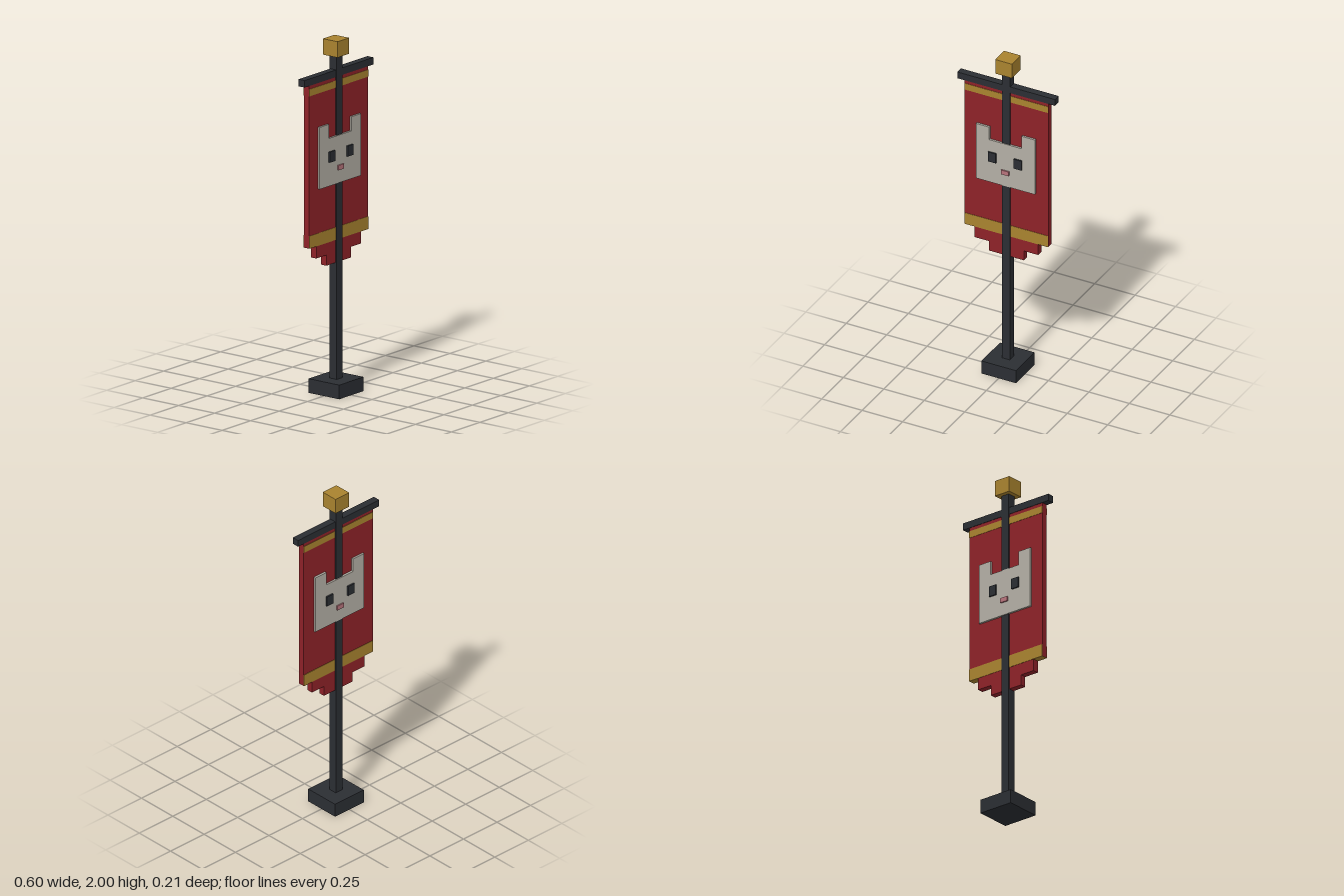
import * as THREE from 'three';

const material = (color) => new THREE.MeshStandardMaterial({ color, flatShading: true });

export function createModel() {
  const model = new THREE.Group();
  model.name = 'bannerStand';

  const iron = material(0x2b2e33);
  const gold = material(0xa9832f);
  const red = material(0x8e2228);
  const bone = material(0xb3afa5);
  const pink = material(0xb8747c);

  // Box centred on z = 0, given its x range, y range and depth
  function box(name, mat, [x0, x1], [y0, y1], depth, parent = model) {
    const mesh = new THREE.Mesh(new THREE.BoxGeometry(x1 - x0, y1 - y0, depth), mat);
    mesh.name = name;
    mesh.position.set((x0 + x1) / 2, (y0 + y1) / 2, 0);
    parent.add(mesh);
    return mesh;
  }
  const wide = (half) => [-half, half];

  // Stand
  box('base', iron, wide(0.107), [0, 0.08], 0.214);
  box('pole', iron, wide(0.025), [0.08, 1.91], 0.05);
  box('crossbar', iron, wide(0.302), [1.79, 1.83], 0.042);
  box('finial', gold, wide(0.051), [1.91, 2], 0.102);

  // Cloth with a stepped lower edge
  const banner = new THREE.Group();
  banner.name = 'banner';
  model.add(banner);
  box('cloth', red, wide(0.259), [0.87, 1.79], 0.036, banner);
  box('upperTail', red, wide(0.196), [0.8, 0.87], 0.036, banner);
  box('lowerTail', red, wide(0.107), [0.74, 0.8], 0.036, banner);
  box('topBand', gold, wide(0.258), [1.73, 1.77], 0.04, banner);
  box('bottomBand', gold, wide(0.258), [0.869, 0.94], 0.04, banner);

  // Animal face, showing on both sides of the cloth
  const face = new THREE.Group();
  face.name = 'faceEmblem';
  model.add(face);
  const outline = new THREE.Shape([
    [-0.182, 1.19], [0.182, 1.19], [0.182, 1.54], [0.1, 1.54],
    [0.1, 1.46], [-0.1, 1.46], [-0.1, 1.54], [-0.182, 1.54],
  ].map(([x, y]) => new THREE.Vector2(x, y)));
  const headGeometry = new THREE.ExtrudeGeometry(outline, { depth: 0.06, bevelEnabled: false });
  headGeometry.translate(0, 0, -0.03);
  const head = new THREE.Mesh(headGeometry, bone);
  head.name = 'head';
  face.add(head);

  box('leftEye', iron, [0.055, 0.103], [1.325, 1.385], 0.078, face);
  box('rightEye', iron, [-0.103, -0.055], [1.325, 1.385], 0.078, face);
  box('nose', pink, wide(0.024), [1.265, 1.292], 0.076, face);

  return model;
}
